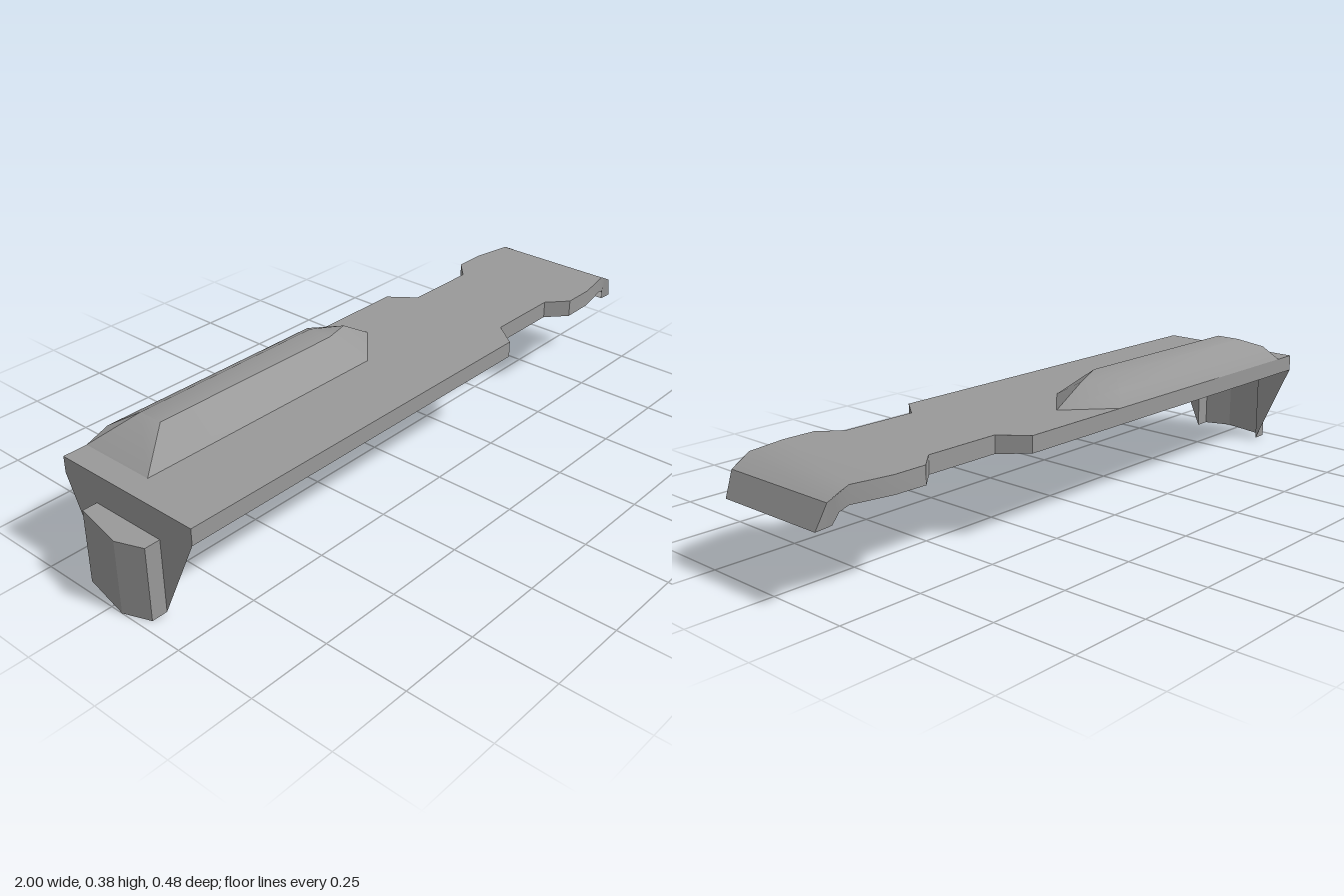
import * as THREE from 'three';
import { mergeGeometries, toCreasedNormals } from 'three/addons/utils/BufferGeometryUtils.js';

const material = new THREE.MeshStandardMaterial({ color: 0x999999, side: THREE.DoubleSide });

// Skin a grid of [x, y, z] rows, dropping collapsed triangles
function loft(rows) {
  const out = [];
  const same = (p, q) => p.every((v, i) => Math.abs(v - q[i]) < 1e-6);
  const tri = (p, q, r) => {
    if (!same(p, q) && !same(q, r) && !same(r, p)) out.push(...p, ...q, ...r);
  };
  for (let i = 0; i < rows.length - 1; i++) {
    for (let j = 0; j < rows[i].length - 1; j++) {
      const a = rows[i][j], b = rows[i][j + 1], c = rows[i + 1][j + 1], d = rows[i + 1][j];
      tri(a, c, b);
      tri(a, d, c);
    }
  }
  const g = new THREE.BufferGeometry();
  g.setAttribute('position', new THREE.Float32BufferAttribute(out, 3));
  return g;
}

// Flat polygon, kept as bare positions so it can be merged with lofts
function polygon(points) {
  const shape = new THREE.Shape(points.map(([u, v]) => new THREE.Vector2(u, v)));
  const g = new THREE.ShapeGeometry(shape).toNonIndexed();
  g.deleteAttribute('uv');
  g.deleteAttribute('normal');
  return g;
}

// Horizontal polygon from [x, z] points, facing up
const slab = (points, y) =>
  polygon(points.map(([x, z]) => [x, -z])).rotateX(-Math.PI / 2).translate(0, y, 0);

function part(name, geometry, crease = 0.6) {
  geometry.computeVertexNormals();
  const mesh = new THREE.Mesh(toCreasedNormals(geometry, crease), material);
  mesh.name = name;
  return mesh;
}

export function createModel() {
  const group = new THREE.Group();
  group.name = 'coverPlate';
  const top = 0.308, back = -0.923;

  // Side outline: x, half width, top height, lower edge height, lower half width
  const side = [
    [back, 0.24, top, 0.259, 0.24], [0.335, 0.24, top, 0.259, 0.24],
    [0.395, 0.162, top, 0.256, 0.162], [0.63, 0.162, top, 0.256, 0.162],
    [0.69, 0.217, top, 0.256, 0.217], [0.79, 0.217, top, 0.257, 0.217],
    [0.91, 0.195, top, 0.257, 0.192], [0.935, 0.191, 0.296, 0.245, 0.186],
    [0.95, 0.189, 0.288, 0.214, 0.177], [0.97, 0.187, 0.277, 0.212, 0.177],
    [1, 0.176, 0.21, 0.21, 0.176],
  ];

  // Deck, open beneath the raised housing, with a bent-down nose
  const flat = side.slice(0, 6);
  const deck = slab([
    ...flat.map(([x, w]) => [x, w]),
    ...flat.slice(1).reverse().map(([x, w]) => [x, -w]),
    [-0.03, -0.24], [0.105, -0.12], [-0.03, 0], [-0.85, 0], [-0.85, -0.24], [back, -0.24],
  ], top);
  const nose = loft([5, 6, 9, 10].map((i) => {
    const [x, w, y] = side[i];
    return [[x, y, w], [x, y, -w]];
  }));
  group.add(part('deck', mergeGeometries([deck, nose])));

  // Underside of the nose lip
  group.add(part('noseLip', loft([10, 9, 8].map((i) => {
    const [x, , , y, w] = side[i];
    return [[x, y, w], [x, y, -w]];
  }))));

  // Thin skirts along both long sides
  for (const s of [1, -1]) {
    const path = s > 0 ? side : [...side].reverse();
    group.add(part(s > 0 ? 'frontSkirt' : 'backSkirt', loft([
      path.map(([x, w, y]) => [x, y, s * w]),
      path.map(([x, , , y, w]) => [x, y, s * w]),
    ]), 0.3));
  }

  // Raised housing: crisp front slope, then a rounded crown and back
  const end = [-0.85, top, 0], endBack = [-0.85, top, -0.24];
  const tip = [0.105, top, -0.12], peak = [0, 0.37, -0.12];
  const ridgeA = [-0.73, 0.383, -0.083], ridgeB = [-0.1, 0.383, -0.083];
  group.add(part('housingFront', loft([
    [end, end],
    [[-0.73, top, 0], ridgeA],
    [[-0.03, top, 0], ridgeB],
    [tip, peak],
  ])));
  group.add(part('housingBack', loft([
    [end, endBack, endBack, endBack],
    [ridgeA, [-0.73, 0.383, -0.16], [-0.8, 0.355, -0.21], endBack],
    [ridgeB, [-0.1, 0.383, -0.16], [-0.06, 0.355, -0.21], [-0.03, top, -0.24]],
    [peak, peak, peak, tip],
  ])));

  // Tapered end wall with an opening into the catch
  const wall = polygon([
    [-0.24, top], [0.24, top], [0.24, 0.259], [0.12, 0], [0.12, 0.22],
    [-0.12, 0.22], [-0.12, 0], [-0.24, 0.259],
  ]).rotateY(-Math.PI / 2).translate(back, 0, 0);
  group.add(part('endWall', wall));

  // Hollow catch projecting from the end wall, open below
  const catchPath = [[back, -0.12], [-0.968, -0.12], [-1, 0.04], [-0.97, 0.12], [back, 0.12]];
  const catchSides = loft([0.22, 0].map((y) => catchPath.map(([x, z]) => [x, y, z])));
  group.add(part('catch', mergeGeometries([catchSides, slab(catchPath, 0.22)]), 0.3));

  return group;
}
